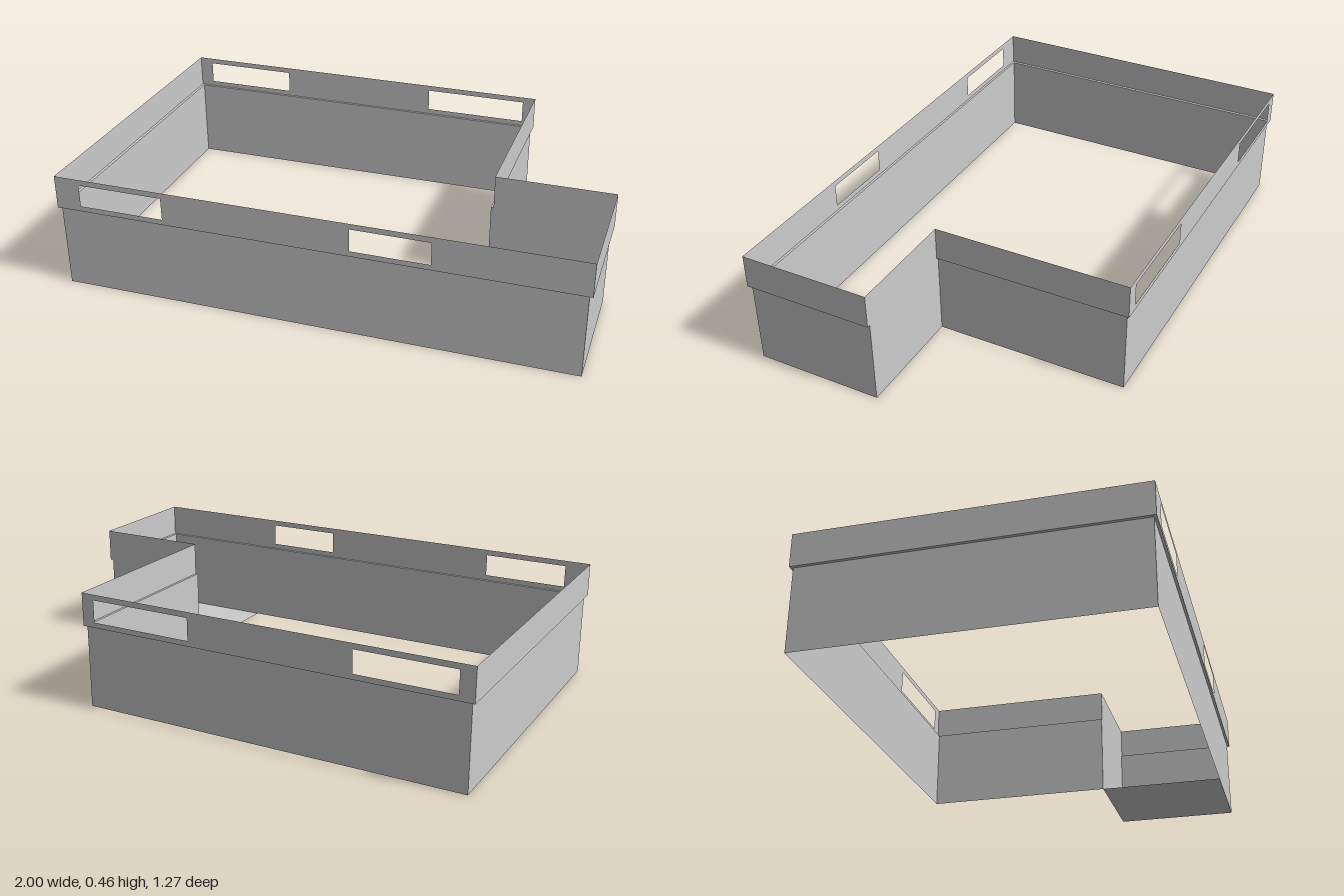
import * as THREE from 'three';

const material = new THREE.MeshStandardMaterial({ color: 0xcccccc, side: THREE.DoubleSide });

const LEDGE_Y = 0.327, TOP_Y = 0.457;
const WINDOW_Y = [0.348, 0.435];

// L-shaped plans as [x, z] corners, matching corner for corner
const upperPlan = [[-1, 0.636], [1, 0.636], [1, 0.128], [0.55, 0.128], [0.55, -0.636], [-1, -0.636]];
const lowerPlan = [[-0.988, 0.626], [0.987, 0.626], [0.987, 0.128], [0.54, 0.128], [0.54, -0.626], [-0.988, -0.626]];
const sides = ['front', 'wingEnd', 'wingBack', 'inner', 'back', 'outer'];

// Window openings per side, as x ranges
const windows = {
  front: [[-0.9, -0.567], [0.153, 0.447]],
  back: [[-0.944, -0.568], [0.085, 0.498]],
};

function polygon(points) {
  return new THREE.Shape(points.map(([x, y]) => new THREE.Vector2(x, y)));
}

function rectangle(x0, x1, y0, y1) {
  return [[x0, y0], [x1, y0], [x1, y1], [x0, y1]];
}

// Upright sheet from plan corner a to b, facing outwards
function wall(name, a, b, y0, y1, openings = []) {
  const dx = b[0] - a[0], dz = b[1] - a[1];
  const shape = polygon(rectangle(0, Math.hypot(dx, dz), y0, y1));
  for (const range of openings) {
    const [s0, s1] = range.map((x) => Math.abs(x - a[0])).sort((p, q) => p - q);
    shape.holes.push(polygon(rectangle(s0, s1, ...WINDOW_Y)));
  }
  const mesh = new THREE.Mesh(new THREE.ShapeGeometry(shape), material);
  mesh.name = name;
  mesh.position.set(a[0], 0, a[1]);
  mesh.rotation.y = Math.atan2(-dz, dx);
  return mesh;
}

// Level sheet given by [x, z] corners
function slab(name, points, y) {
  const mesh = new THREE.Mesh(new THREE.ShapeGeometry(polygon(points)).rotateX(Math.PI / 2), material);
  mesh.name = name;
  mesh.position.y = y;
  return mesh;
}

export function createModel() {
  const model = new THREE.Group();
  model.name = 'buildingShell';

  sides.forEach((side, i) => {
    const j = (i + 1) % sides.length;
    // Lower wall and the slightly wider band with windows above it
    model.add(wall(side + 'LowerWall', lowerPlan[i], lowerPlan[j], 0, LEDGE_Y));
    model.add(wall(side + 'UpperBand', upperPlan[i], upperPlan[j], LEDGE_Y, TOP_Y, windows[side]));
    // Narrow ledge joining the two; the wing's back is flush
    if (side !== 'wingBack') {
      model.add(slab(side + 'Ledge', [upperPlan[i], upperPlan[j], lowerPlan[j], lowerPlan[i]], LEDGE_Y));
    }
  });

  // Floor of the side wing only
  model.add(slab('wingFloor', rectangle(0.54, 0.987, 0.128, 0.626), 0));

  return model;
}
